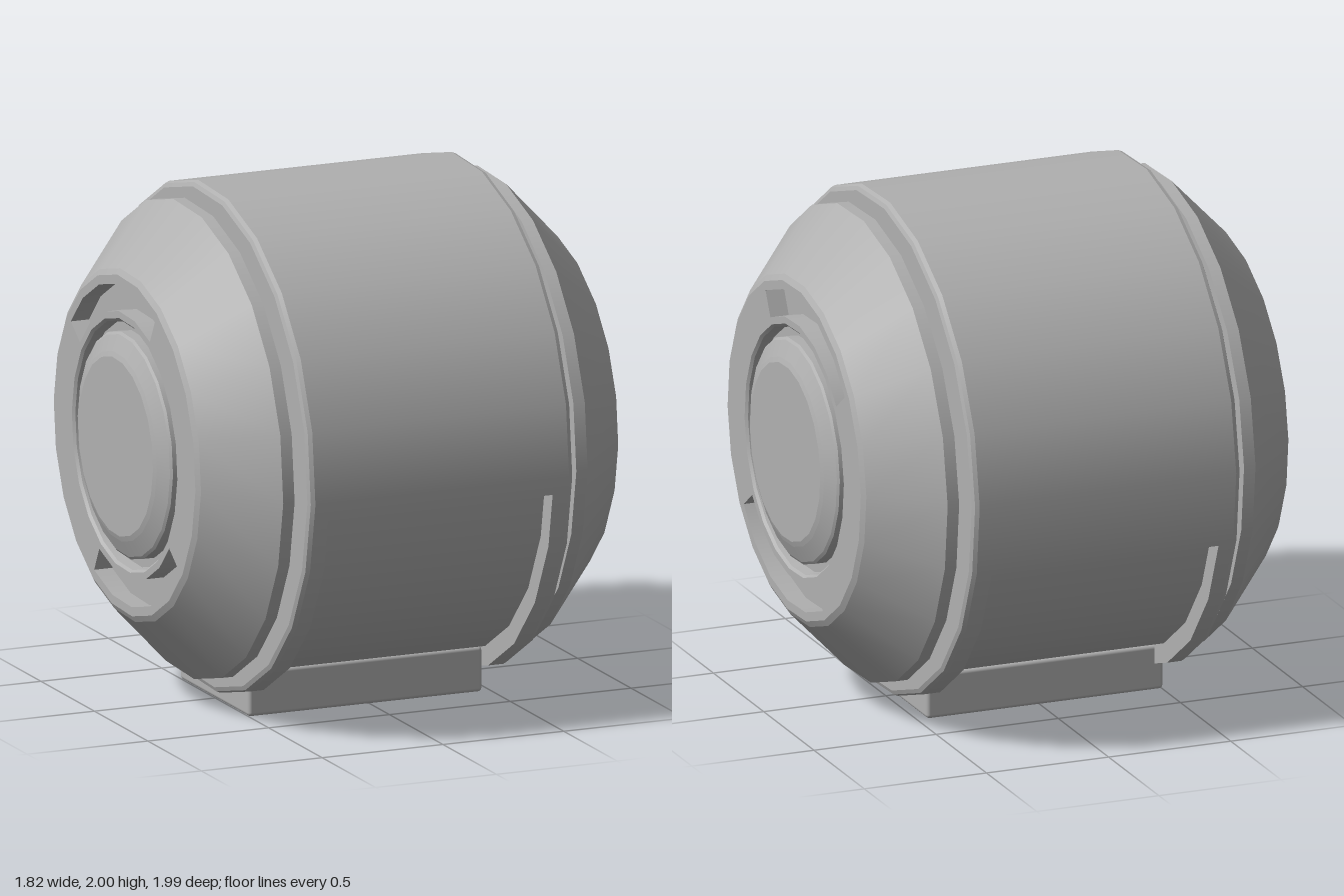
import * as THREE from 'three';
import { RoundedBoxGeometry } from 'three/addons/geometries/RoundedBoxGeometry.js';

const SIDES = 22, STEP = 360 / SIDES, START = 2.2, CY = 1.025;
const rad = THREE.MathUtils.degToRad;

// point on the polygonal drum: x along the axle, radius r, angle a (0 = back, 90 = up)
function point(x, r, a) {
  const d = THREE.MathUtils.euclideanModulo(a - START, STEP) - STEP / 2;
  const k = r * Math.cos(rad(STEP / 2)) / Math.cos(rad(d));
  return [x, CY + k * Math.sin(rad(a)), -1.012 * k * Math.cos(rad(a))];
}

// polygon corner angles between a0 and a1, plus both ends
function angles(a0, a1) {
  const list = [a0];
  for (let i = Math.ceil((a0 - START) / STEP + 1e-4); START + i * STEP < a1 - 1e-4; i++) list.push(START + i * STEP);
  return [...list, a1];
}

function build(pos, nor, idx) {
  const g = new THREE.BufferGeometry();
  g.setAttribute('position', new THREE.Float32BufferAttribute(pos, 3));
  g.setAttribute('normal', new THREE.Float32BufferAttribute(nor, 3));
  g.setIndex(idx);
  return g;
}

// sweep an [x, r] profile round the axle: smooth round it, sharp along the profile
function sweep(profile, a0 = START, a1 = START + 360, side = 1) {
  const pos = [], nor = [], idx = [], list = angles(a0, a1);
  for (let i = 0; i < profile.length - 1; i++) {
    const [x0, r0] = profile[i], [x1, r1] = profile[i + 1];
    const len = Math.hypot(x1 - x0, r1 - r0), nx = -(r1 - r0) / len, nr = (x1 - x0) / len;
    list.forEach((a, j) => {
      const b = pos.length / 3;
      pos.push(...point(side * x0, r0, a), ...point(side * x1, r1, a));
      const n = [side * nx, nr * Math.sin(rad(a)), -nr * Math.cos(rad(a))];
      nor.push(...n, ...n);
      if (j === list.length - 1) return;
      if (side > 0) idx.push(b, b + 2, b + 1, b + 1, b + 2, b + 3);
      else idx.push(b, b + 1, b + 2, b + 1, b + 3, b + 2);
    });
  }
  return build(pos, nor, idx);
}

// flat radial wall at angle a; dir = +1 faces increasing angle
function wall(a, x0, x1, r0, r1, dir) {
  const pos = [point(x0, r0, a), point(x1, r0, a), point(x1, r1, a), point(x0, r1, a)].flat();
  const n = [0, dir * Math.cos(rad(a)), dir * Math.sin(rad(a))];
  const flip = (dir > 0) === (x1 > x0);
  return build(pos, [...n, ...n, ...n, ...n], flip ? [0, 2, 1, 0, 3, 2] : [0, 1, 2, 0, 2, 3]);
}

export function createModel() {
  const model = new THREE.Group();
  const grey = new THREE.MeshStandardMaterial({ color: 0xb0b0b0, side: THREE.DoubleSide });
  grey.name = 'plain grey';
  const add = (name, geo, parent = model) => {
    const m = new THREE.Mesh(geo, grey);
    m.name = name;
    parent.add(m);
    return m;
  };

  // drum with a wide pocket sunk round its underside
  const R = 0.983, FLOOR = 0.908, P0 = 186, P1 = 345, L = -0.467, RT = 0.462;
  const drum = new THREE.Group();
  drum.name = 'drum';
  model.add(drum);
  add('drumLeftRim', sweep([[RT, R], [0.525, R], [0.541, R - 0.007], [0.548, R - 0.023], [0.548, 0.7]]), drum);
  add('drumRightRim', sweep([[-0.548, 0.7], [-0.548, R - 0.023], [-0.541, R - 0.007], [-0.525, R], [L, R]]), drum);
  add('drumShell', sweep([[L, R], [RT, R]], P1 - 360, P0), drum);
  add('pocketFloor', sweep([[L, R], [L, FLOOR], [RT, FLOOR], [RT, R]], P0, P1), drum);
  add('pocketFrontEdge', wall(P0, L, RT, FLOOR, R, 1), drum);
  add('pocketBackEdge', wall(P1, L, RT, FLOOR, R, -1), drum);

  // matching end caps with hubs and curved slots
  const FACE = 0.875, DEEP = 0.8, IN = 0.515, OUT = 0.62;
  for (const s of [1, -1]) {
    const cap = new THREE.Group();
    cap.name = s > 0 ? 'leftCap' : 'rightCap';
    model.add(cap);
    const ring = (name, profile, a0, a1) => add(name, sweep(profile, a0, a1, s), cap);
    ring('axleCollar', [[0.54, 0.735], [0.59, 0.735]]);
    ring('capCone', [[0.583, 0.7], [0.583, 0.92], [0.63, 0.92], [0.862, 0.678], [FACE, 0.655], [FACE, OUT]]);
    ring('hub', [[FACE, IN], [FACE, 0.488], [0.865, 0.478], [0.825, 0.472], [0.825, 0.437],
      [0.87, 0.437], [0.878, 0.427], [0.905, 0.365], [0.912, 0.345], [0.912, 0]]);
    for (const turn of [0, 180]) {
      const a0 = 36.5 + turn, a1 = 117 + turn;
      ring('capFace', [[FACE, OUT], [FACE, IN]], a1, a0 + 180);
      ring('slot', [[FACE, OUT], [DEEP, OUT], [DEEP, IN], [FACE, IN]], a0, a1);
      add('slotEnd', wall(a0, s * DEEP, s * FACE, IN, OUT, 1), cap);
      add('slotEnd', wall(a1, s * DEEP, s * FACE, IN, OUT, -1), cap);
    }
  }

  // foot under the drum
  add('foot', new RoundedBoxGeometry(0.968, 0.178, 0.645, 2, 0.015)).position.set(-0.02, 0.089, 0);
  return model;
}
